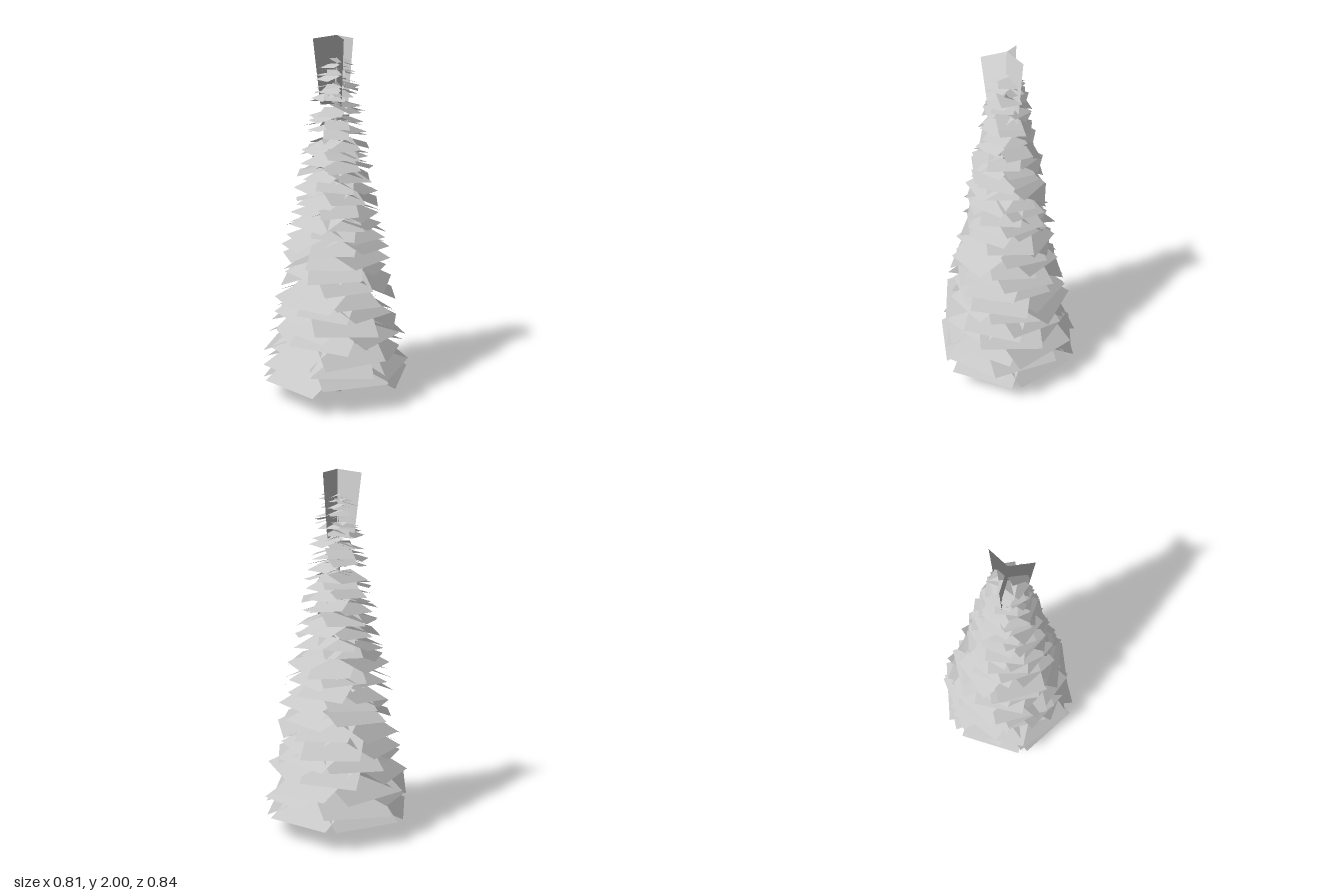
import * as THREE from 'three';

// Small seeded generator for natural variation
function seeded(seed) {
  return () => {
    seed = (seed * 16807) % 2147483647;
    return seed / 2147483647;
  };
}

// Flat four-cornered card with one soft foliage normal
function card(corners, normal) {
  const n = new THREE.Vector3(...normal).normalize().toArray();
  const g = new THREE.BufferGeometry();
  g.setAttribute('position', new THREE.Float32BufferAttribute(corners.flat(), 3));
  g.setAttribute('normal', new THREE.Float32BufferAttribute([...n, ...n, ...n, ...n], 3));
  g.setIndex([0, 1, 2, 0, 2, 3]);
  return g;
}

export function createModel() {
  const tree = new THREE.Group();
  tree.name = 'conifer';
  const rand = seeded(4711);
  const vary = (amount) => (rand() * 2 - 1) * amount;
  const bark = new THREE.MeshStandardMaterial({ color: 0xcccccc });
  const foliage = new THREE.MeshStandardMaterial({ color: 0xcccccc, side: THREE.DoubleSide });
  const axisX = -0.005, axisZ = 0.015;

  function addCard(parent, name, corners, normal, angle) {
    const mesh = new THREE.Mesh(card(corners, normal), foliage);
    mesh.name = name;
    mesh.rotation.y = -angle;
    parent.add(mesh);
  }

  // Slim tapering trunk
  const trunk = new THREE.Mesh(new THREE.CylinderGeometry(0.006, 0.037, 1.8, 12), bark);
  trunk.name = 'trunk';
  trunk.position.set(axisX, 0.9, axisZ);
  tree.add(trunk);

  // Whorls of six drooping branch cards, shrinking, flattening and closing up with height
  const tiers = 28;
  for (let i = 0; i < tiers; i++) {
    const t = i / (tiers - 1);
    const loose = i === 0 ? 0 : 1;
    const y = 0.115 + 0.08 * i - 0.00059 * i * i;
    const whorl = new THREE.Group();
    whorl.name = 'branchWhorl' + (i + 1);
    whorl.position.set(axisX, y, axisZ);
    const turn = loose * rand() * Math.PI * 2;
    for (let k = 0; k < 6; k++) {
      const reach = (0.395 - 0.165 * y) * (1 + loose * vary(0.09));
      const half = reach * 0.49;
      const drop = reach * (0.42 - 0.2 * t + vary(0.08));
      // One front card of the lowest whorl sits higher than the rest
      const tip = i === 0 ? (k === 2 ? 0.045 : 0) : vary(0.022);
      const roll = loose * half * vary(0.1);
      addCard(
        whorl,
        'branch',
        [
          [0, drop + tip - roll, half],
          [reach, tip - roll, half],
          [reach, tip + roll, -half],
          [0, drop + tip + roll, -half],
        ],
        [0.85, 0.55, 0],
        turn + (k * Math.PI) / 3 + loose * vary(0.2)
      );
    }
    tree.add(whorl);
  }

  // Crown of three upright cards leaning slightly outwards
  const crown = new THREE.Group();
  crown.name = 'crown';
  crown.position.set(0, 0, axisZ);
  for (let k = 0; k < 3; k++) {
    addCard(
      crown,
      'spire',
      [[-0.01, 1.64, 0], [0.09, 1.63, 0], [0.13, 1.98, 0], [0, 2, 0]],
      [0.3, 1, 0],
      (k * Math.PI * 2) / 3
    );
  }
  tree.add(crown);

  return tree;
}
